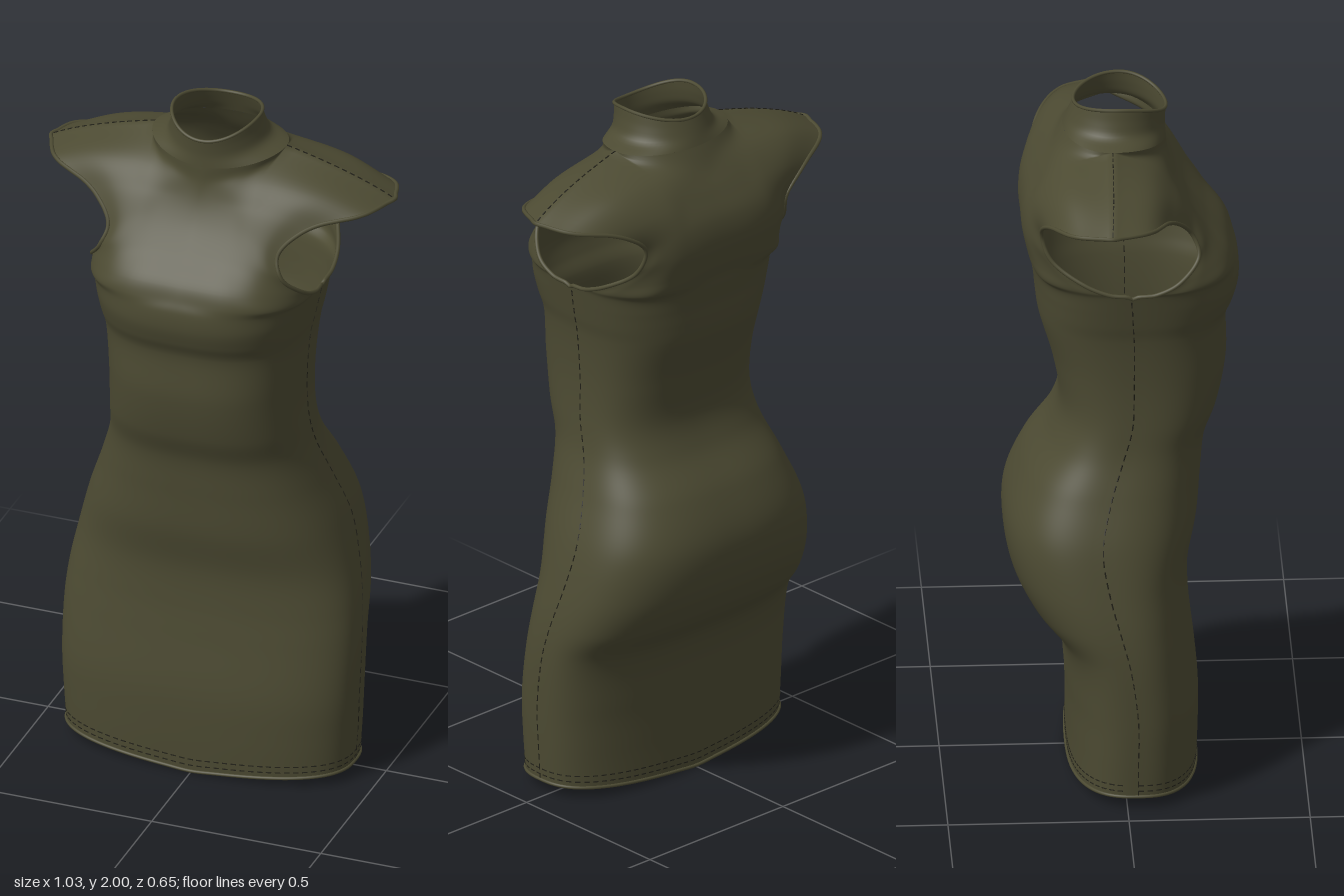
import * as THREE from 'three';
import { mergeVertices, mergeGeometries } from 'three/addons/utils/BufferGeometryUtils.js';

const V = (x, y, z) => new THREE.Vector3(x, y, z);

// Body rings: height, half width, front z, back z, side seam z
const BODY = [
  [0.035, 0.42, 0.205, -0.15, 0.03], [0.14, 0.427, 0.21, -0.15, 0.03], [0.26, 0.432, 0.21, -0.155, 0.03],
  [0.42, 0.432, 0.192, -0.18, 0.01], [0.52, 0.424, 0.183, -0.26, -0.015], [0.63, 0.404, 0.183, -0.312, -0.045],
  [0.76, 0.372, 0.208, -0.324, -0.065], [0.89, 0.325, 0.219, -0.275, -0.04], [1.0, 0.29, 0.232, -0.2, -0.005],
  [1.09, 0.279, 0.265, -0.172, 0.02], [1.22, 0.275, 0.29, -0.19, 0.025], [1.36, 0.286, 0.292, -0.23, 0.025],
  [1.41, 0.297, 0.312, -0.237, 0.022], [1.46, 0.307, 0.325, -0.242, 0.02], [1.51, 0.317, 0.323, -0.25, 0.02],
];

// Yoke rows from the centre line out to the armhole edge
const YOKE_FRONT = [
  [0, 1.54, 0.312, 0.15, 1.54, 0.305, 0.24, 1.535, 0.27, 0.3, 1.527, 0.19, 0.322, 1.523, 0.085],
  [0, 1.58, 0.293, 0.14, 1.58, 0.29, 0.22, 1.575, 0.265, 0.28, 1.565, 0.212, 0.312, 1.553, 0.15],
  [0, 1.65, 0.23, 0.12, 1.65, 0.232, 0.19, 1.64, 0.232, 0.235, 1.63, 0.222, 0.268, 1.615, 0.205],
  [0, 1.72, 0.175, 0.11, 1.72, 0.18, 0.17, 1.71, 0.188, 0.215, 1.695, 0.19, 0.25, 1.675, 0.185],
  [0, 1.775, 0.145, 0.1, 1.778, 0.145, 0.17, 1.778, 0.145, 0.25, 1.768, 0.14, 0.32, 1.743, 0.13],
  [0, 1.825, 0.13, 0.09, 1.835, 0.118, 0.17, 1.842, 0.09, 0.32, 1.822, 0.075, 0.455, 1.778, 0.06],
];
const YOKE_BACK = [
  [0, 1.54, -0.254, 0.15, 1.54, -0.25, 0.24, 1.535, -0.22, 0.3, 1.53, -0.135, 0.322, 1.525, -0.045],
  [0, 1.58, -0.265, 0.14, 1.58, -0.262, 0.22, 1.575, -0.24, 0.28, 1.565, -0.18, 0.312, 1.553, -0.115],
  [0, 1.65, -0.277, 0.12, 1.65, -0.276, 0.19, 1.645, -0.265, 0.24, 1.635, -0.24, 0.275, 1.615, -0.205],
  [0, 1.72, -0.266, 0.12, 1.72, -0.266, 0.18, 1.715, -0.262, 0.225, 1.705, -0.25, 0.265, 1.69, -0.23],
  [0, 1.785, -0.23, 0.11, 1.785, -0.232, 0.18, 1.785, -0.234, 0.26, 1.775, -0.228, 0.345, 1.75, -0.215],
  [0, 1.84, -0.192, 0.1, 1.848, -0.185, 0.18, 1.85, -0.172, 0.33, 1.83, -0.16, 0.47, 1.778, -0.145],
];

// Collar rings: half width, front z, back z, side z, front y, side y, back y
const COLLAR = [
  [0.195, 0.125, -0.16, -0.03, 1.873, 1.9, 1.9], [0.147, 0.123, -0.15, -0.02, 1.905, 1.92, 1.925],
  [0.132, 0.124, -0.14, -0.01, 1.93, 1.955, 1.95], [0.125, 0.126, -0.13, 0, 1.955, 1.995, 1.975],
];

function collarPoint([w, zf, zb, zs, yf, ys, yb], a) {
  const c = Math.cos(a), front = c >= 0;
  return V(w * Math.sin(a), ys + ((front ? yf : yb) - ys) * c * c, zs + ((front ? zf : zb) - zs) * Math.abs(c));
}

// Flattened oval section, with a hem that dips at the centre
function bodyPoint([y, w, zf, zb, zs], front, u) {
  const p = 2 / 2.7, a = u * Math.PI / 2;
  const sx = Math.pow(Math.sin(a), p), cz = u === 1 ? 0 : Math.pow(Math.cos(a), p);
  const dip = 0.03 * (1 - sx) * Math.max(0, 1 - (y - 0.035) / 0.35);
  return V(w * sx, y - dip, zs + ((front ? zf : zb) - zs) * cz);
}

function yokePoint(row, u) {
  const pts = [];
  for (let i = 0; i < 15; i += 3) pts.push(V(row[i], row[i + 1], row[i + 2]));
  return new THREE.CatmullRomCurve3(pts).getPoint(u);
}

// Top row: neckline, then the shoulder seam out to the cap tip
const shoulder = new THREE.QuadraticBezierCurve3(V(0.195, 1.9, -0.03), V(0.4, 1.85, -0.035), V(0.508, 1.786, -0.045));
function topPoint(front, u) {
  if (u >= 0.5) return shoulder.getPoint(u * 2 - 1);
  return collarPoint(COLLAR[0], front ? u * Math.PI : Math.PI * (1 - u));
}

// One vertical line of the dress, from hem to neckline or shoulder
function column(front, u) {
  const m = Math.abs(u), s = u < 0 ? -1 : 1;
  const pts = [
    ...BODY.map((r) => bodyPoint(r, front, m)),
    ...(front ? YOKE_FRONT : YOKE_BACK).map((r) => yokePoint(r, m)),
    topPoint(front, m),
  ];
  pts.forEach((p) => { p.x *= s; });
  return new THREE.CatmullRomCurve3(pts);
}
const UNDERARM = (BODY.length - 1) / (BODY.length + YOKE_FRONT.length);

// Surface from a grid of points, point(i, j)
function grid(nu, nv, point, flip) {
  const pos = [], idx = [];
  for (let i = 0; i <= nu; i++) for (let j = 0; j <= nv; j++) pos.push(...point(i, j).toArray());
  for (let i = 0; i < nu; i++) for (let j = 0; j < nv; j++) {
    const a = i * (nv + 1) + j, b = a + nv + 1;
    if (flip) idx.push(a, b + 1, b, a, a + 1, b + 1);
    else idx.push(a, b, b + 1, a, b + 1, a + 1);
  }
  const g = new THREE.BufferGeometry();
  g.setAttribute('position', new THREE.Float32BufferAttribute(pos, 3));
  g.setIndex(idx);
  return g;
}

function panel(front) {
  const nu = 56, nv = 168;
  const cols = Array.from({ length: nu + 1 }, (_, i) => column(front, (i / nu) * 2 - 1));
  return grid(nu, nv, (i, j) => cols[i].getPoint(j / nv), !front);
}

function smooth(g) {
  const m = mergeVertices(g, 1e-5);
  m.computeVertexNormals();
  return m;
}

// Short thread dashes along a list of points
function dashes(points, count) {
  const curve = new THREE.CatmullRomCurve3(points), helper = new THREE.Object3D();
  return Array.from({ length: count }, (_, i) => {
    const a = curve.getPointAt(i / count), b = curve.getPointAt((i + 0.6) / count);
    helper.position.copy(a).lerp(b, 0.5);
    helper.lookAt(b);
    helper.updateMatrix();
    return new THREE.BoxGeometry(0.003, 0.003, a.distanceTo(b)).applyMatrix4(helper.matrix);
  });
}

export function createModel() {
  const group = new THREE.Group();
  const fabric = new THREE.MeshStandardMaterial({ color: 0x4c4a32, side: THREE.DoubleSide });
  fabric.name = 'olive fabric';
  const thread = new THREE.MeshStandardMaterial({ color: 0x24231a });
  thread.name = 'dark thread';
  const add = (name, geometry, material = fabric) => {
    const mesh = new THREE.Mesh(geometry, material);
    mesh.name = name;
    group.add(mesh);
  };
  const piping = (name, points, r) =>
    add(name, new THREE.TubeGeometry(new THREE.CatmullRomCurve3(points, true), 160, r, 8, true));

  // Front and back joined at the side and shoulder seams
  add('dressBody', smooth(mergeGeometries([panel(true), panel(false)])));

  // Stand-up collar
  const nc = 64, nr = 14;
  add('collar', smooth(grid(nc, nr, (i, j) => {
    const a = (i % nc) / nc * Math.PI * 2;
    return new THREE.CatmullRomCurve3(COLLAR.map((r) => collarPoint(r, a))).getPoint(j / nr);
  })));
  piping('collarRim', Array.from({ length: 48 }, (_, i) => collarPoint(COLLAR[3], i / 48 * Math.PI * 2)), 0.005);

  // Ring of points around the skirt at row parameter v
  const ring = (v) => {
    const pts = [];
    for (let i = 0; i < 32; i++) pts.push(column(true, i / 16 - 1).getPoint(v));
    for (let i = 0; i < 32; i++) pts.push(column(false, 1 - i / 16).getPoint(v));
    return pts;
  };
  piping('hemEdge', ring(0), 0.005);

  // Armhole piping and seam stitches on both sides
  const stitches = [...dashes(ring(0.008), 80), ...dashes(ring(0.016), 80)];
  for (const s of [-1, 1]) {
    const f = column(true, s), b = column(false, s), loop = [], side = [];
    const n = 24;
    for (let i = 0; i < n; i++) loop.push(f.getPoint(UNDERARM + (1 - UNDERARM) * i / n));
    for (let i = n; i > 0; i--) loop.push(b.getPoint(UNDERARM + (1 - UNDERARM) * i / n));
    piping(s > 0 ? 'leftArmholeEdge' : 'rightArmholeEdge', loop, 0.006);
    for (let i = 0; i <= 40; i++) side.push(f.getPoint(UNDERARM * i / 40));
    stitches.push(...dashes(side, 50));
    stitches.push(...dashes(shoulder.getPoints(10).map((p) => V(p.x * s, p.y, p.z)), 14));
  }
  add('seamStitches', mergeGeometries(stitches), thread);
  return group;
}
